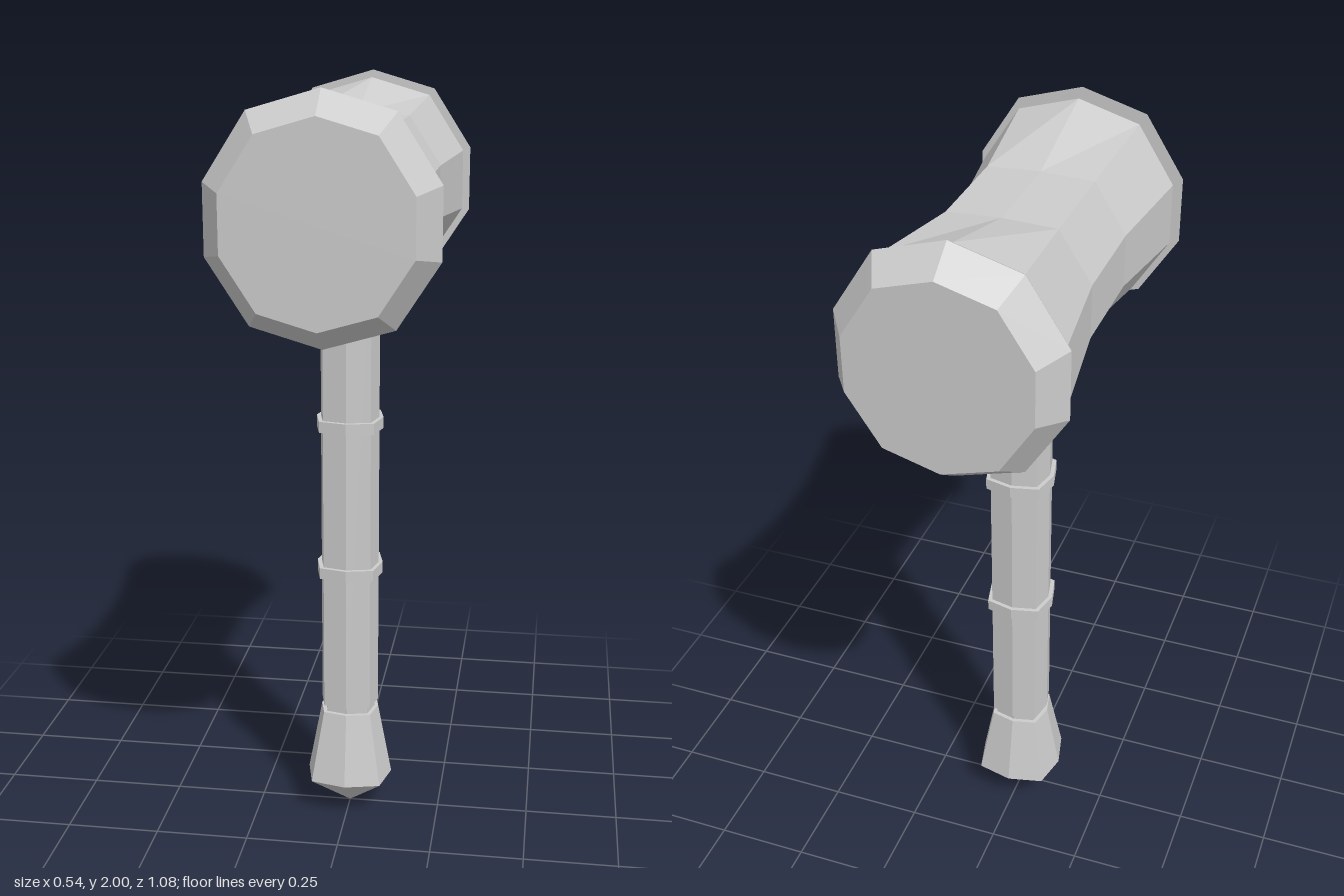
import * as THREE from 'three';

const HEAD_Y = 1.7075;

// Head outline: a ten-sided ring, counter-clockwise, one corner up
const half = [[0, -0.2925], [0.17, -0.243], [0.272, -0.085], [0.272, 0.085], [0.17, 0.243]];
const headSection = [...half, ...half.map(([x, y]) => [-x, -y])];

// Grip outline: a square whose sides bulge slightly at the middle
const B = 0.81;
const gripSection = [[1, 0], [B, B], [0, 1], [-B, B], [-1, 0], [-B, -B], [0, -1], [B, -B]];

// Loft a section along z through stations [z, scale, optional height limit], with closed ends
function loft(section, stations) {
  const n = section.length, pos = [], idx = [];
  for (const [z, s, limit = Infinity] of stations) {
    for (const [x, y] of section) pos.push(x * s, Math.min(y * s, limit), z);
  }
  for (let k = 0; k < stations.length - 1; k++) {
    for (let i = 0; i < n; i++) {
      const a = k * n + i, b = k * n + (i + 1) % n;
      idx.push(a, b, b + n, a, b + n, a + n);
    }
  }
  const first = pos.length / 3, top = (stations.length - 1) * n;
  pos.push(0, 0, stations[0][0], 0, 0, stations[stations.length - 1][0]);
  for (let i = 0; i < n; i++) {
    const j = (i + 1) % n;
    idx.push(first, j, i, first + 1, top + i, top + j);
  }
  const g = new THREE.BufferGeometry();
  g.setAttribute('position', new THREE.Float32BufferAttribute(pos, 3));
  g.setIndex(idx);
  const flat = g.toNonIndexed();
  flat.computeVertexNormals();
  return flat;
}

export function createModel() {
  const model = new THREE.Group();
  model.name = 'warHammer';
  const material = new THREE.MeshStandardMaterial({ color: 0xcccccc, flatShading: true });

  const head = new THREE.Group();
  head.name = 'head';
  head.position.y = HEAD_Y;
  const handle = new THREE.Group();
  handle.name = 'handle';
  handle.rotation.x = -Math.PI / 2;
  model.add(head, handle);

  const add = (parent, name, section, stations) => {
    const mesh = new THREE.Mesh(loft(section, stations), material);
    mesh.name = name;
    parent.add(mesh);
  };

  // Waisted head, flattened on top at the middle
  add(head, 'headBody', headSection,
    [[-0.427, 0.935], [-0.135, 0.795, 0.199], [0.135, 0.795, 0.199], [0.427, 0.935]]);

  // Recessed neck and bevelled striking face at each end
  for (const side of [1, -1]) {
    const ends = (list) => {
      const placed = list.map(([z, s]) => [z * side, s]);
      return side > 0 ? placed : placed.reverse();
    };
    const label = side > 0 ? 'front' : 'back';
    add(head, label + 'Neck', headSection, ends([[0.42, 0.835], [0.465, 0.835]]));
    add(head, label + 'StrikingFace', headSection, ends([[0.458, 1], [0.538, 0.81]]));
  }

  // Shaft with a narrow collar at its foot
  add(handle, 'shaft', gripSection, [[0.32, 0.078], [1.55, 0.078]]);
  add(handle, 'collar', gripSection, [[0.29, 0.068], [0.325, 0.068]]);

  // Grip rings
  for (const y of [0.713, 1.12]) {
    add(handle, 'gripRing', gripSection, [[y - 0.015, 0.089], [y + 0.015, 0.089]]);
  }

  // Flared pommel ending in a point
  add(handle, 'pommel', gripSection, [[0, 0.0005], [0.1, 0.117], [0.3, 0.079]]);

  return model;
}
